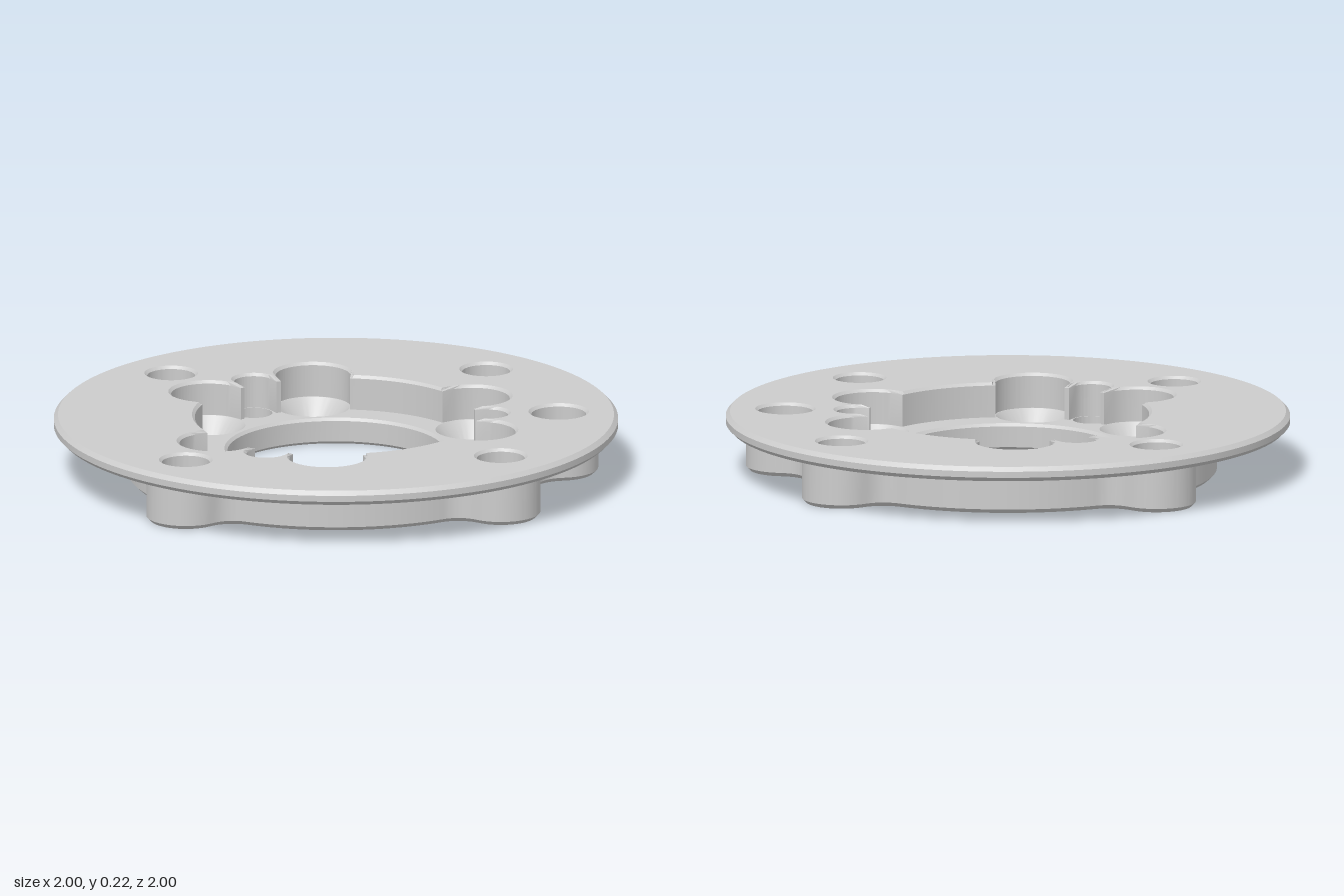
import * as THREE from 'three';
import { mergeGeometries, toCreasedNormals } from 'three/addons/utils/BufferGeometryUtils.js';

const TOP = 0.22, FLANGE = 0.168, FLOOR = 0.095, BEVEL = 0.015;
const RING = 0.54;                        // radius of the bolt pattern
const deg = Math.PI / 180;
const polar = (r, a) => [r * Math.cos(a * deg), r * Math.sin(a * deg)];

const mountHoles = [45, 135, 225, 315, 0].map(a => ({ at: polar(0.79, a), r: a === 0 ? 0.097 : 0.085 }));
const pinHoles = [0, 120, 240].map(a => polar(RING, a));
const boltHoles = [0, 120, 240].flatMap(a => [polar(RING, a - 24), polar(RING, a + 24)]);

// Loop of [x, z] points from a radius rule
function loop(rule, n, [cx, cz] = [0, 0]) {
  return Array.from({ length: n }, (_, i) => {
    const t = i / n * 2 * Math.PI, r = rule(t);
    return [cx + r * Math.cos(t), cz + r * Math.sin(t)];
  });
}
const circle = (r, at, n = 64) => loop(() => r, n, at);

// Far (or near) distance at which a ray from the origin meets a circle; 0 if it misses
function rayHit(t, [cx, cz], r, side = 1) {
  const along = cx * Math.cos(t) + cz * Math.sin(t);
  const disc = r * r - (cx * cx + cz * cz - along * along);
  return along > 0 && disc >= 0 ? along + side * Math.sqrt(disc) : 0;
}

// Recess outline: a disk joined with the bolt pockets and pin holes
const recess = grow => loop(t => Math.max(0.5 + grow,
  ...boltHoles.map(c => rayHit(t, c, 0.133 + grow)),
  ...pinHoles.map(c => rayHit(t, c, 0.07 + grow))), 1080);

// Body outline: a disk with five lobes blended in by fillets
function body(grow) {
  const R = 0.74 + grow, lobe = 0.14 + grow, f = 0.1 - grow, d = 0.79;
  const a = Math.acos(((R + f) ** 2 + d * d - (lobe + f) ** 2) / (2 * d * (R + f)));
  const fc = [(R + f) * Math.cos(a), (R + f) * Math.sin(a)];
  const k = lobe / (lobe + f);
  const contact = Math.atan2(fc[1] * k, d + (fc[0] - d) * k);
  return loop(t => {
    let off = Math.PI;
    for (const m of [0, 45, 135, 225, 315, 360]) off = Math.min(off, Math.abs(t - m * deg));
    if (off < contact) return rayHit(off, [d, 0], lobe);
    return off < a ? rayHit(off, fc, f, -1) : R;
  }, 720);
}

// Wall through loops: rising levels face outwards, falling levels face inwards
function wall(levels) {
  const bands = [];
  for (let s = 0; s + 1 < levels.length; s++) {
    const [[lo, y0], [hi, y1]] = [levels[s], levels[s + 1]];
    const n = lo.length, pos = [], idx = [];
    for (let i = 0; i < n; i++) {
      pos.push(lo[i][0], y0, lo[i][1], hi[i][0], y1, hi[i][1]);
      const a = 2 * i, b = 2 * ((i + 1) % n);
      idx.push(a, a + 1, b, b, a + 1, b + 1);
    }
    const g = new THREE.BufferGeometry();
    g.setAttribute('position', new THREE.Float32BufferAttribute(pos, 3));
    g.setIndex(idx);
    bands.push(g);
  }
  return toCreasedNormals(mergeGeometries(bands), 0.5);
}

// Flat face with holes, facing up or down
function face(outer, holes, y, up) {
  const vec = pts => pts.map(p => new THREE.Vector2(p[0], up ? -p[1] : p[1]));
  const shape = new THREE.Shape(vec(outer));
  shape.holes = holes.map(h => new THREE.Path(vec(h)));
  return new THREE.ShapeGeometry(shape).rotateX(up ? -Math.PI / 2 : Math.PI / 2).translate(0, y, 0);
}

export function createModel() {
  const model = new THREE.Group();
  model.name = 'mountingFlange';
  const material = new THREE.MeshStandardMaterial({ color: 0xcccccc });
  const add = (name, geometry) => {
    const mesh = new THREE.Mesh(geometry, material);
    mesh.name = name;
    model.add(mesh);
  };
  const big = r => circle(r, [0, 0], 180);
  const c = 0.01;                         // chamfer of the holes

  // Flange disk
  add('flangeRim', wall([[big(1 - BEVEL), FLANGE], [big(1), FLANGE + BEVEL],
    [big(1), TOP - BEVEL], [big(1 - BEVEL), TOP]]));
  add('flangeTop', face(big(1 - BEVEL),
    [recess(c), ...mountHoles.map(h => circle(h.r + c, h.at))], TOP, true));
  add('flangeUnderside', face(big(1 - BEVEL), [body(0)], FLANGE, false));

  // Lobed body under the flange
  add('bodyWall', wall([[body(-BEVEL), 0], [body(0), BEVEL], [body(0), FLANGE]]));
  add('bodyBottom', face(body(-BEVEL), [
    big(0.385 + c),
    ...boltHoles.map(p => circle(0.07, p)),
    ...pinHoles.map(p => circle(0.066, p)),
    ...mountHoles.map(h => circle(h.r + c, h.at)),
  ], 0, false));

  // Recess in the top
  add('recessWall', wall([[recess(c), TOP], [recess(0), TOP - c], [recess(0), FLOOR]]));
  add('recessFloor', face(recess(0), [
    big(0.385 + c),
    ...boltHoles.map(p => circle(0.13, p)),
    ...pinHoles.map(p => circle(0.066, p)),
  ], FLOOR, true));

  // Central bore and the three sets of holes
  add('centralBore', wall([[big(0.385 + c), FLOOR], [big(0.385), FLOOR - c],
    [big(0.385), c], [big(0.385 + c), 0]]));
  for (const p of boltHoles) add('countersunkBoltHole',
    wall([[circle(0.13, p), FLOOR - 0.0], [circle(0.07, p), 0.03], [circle(0.07, p), 0]]));
  for (const p of pinHoles) add('pinHole', wall([[circle(0.066, p), FLOOR], [circle(0.066, p), 0]]));
  for (const { at, r } of mountHoles) add('mountHole', wall([[circle(r + c, at), TOP],
    [circle(r, at), TOP - c], [circle(r, at), c], [circle(r + c, at), 0]]));

  return model;
}
